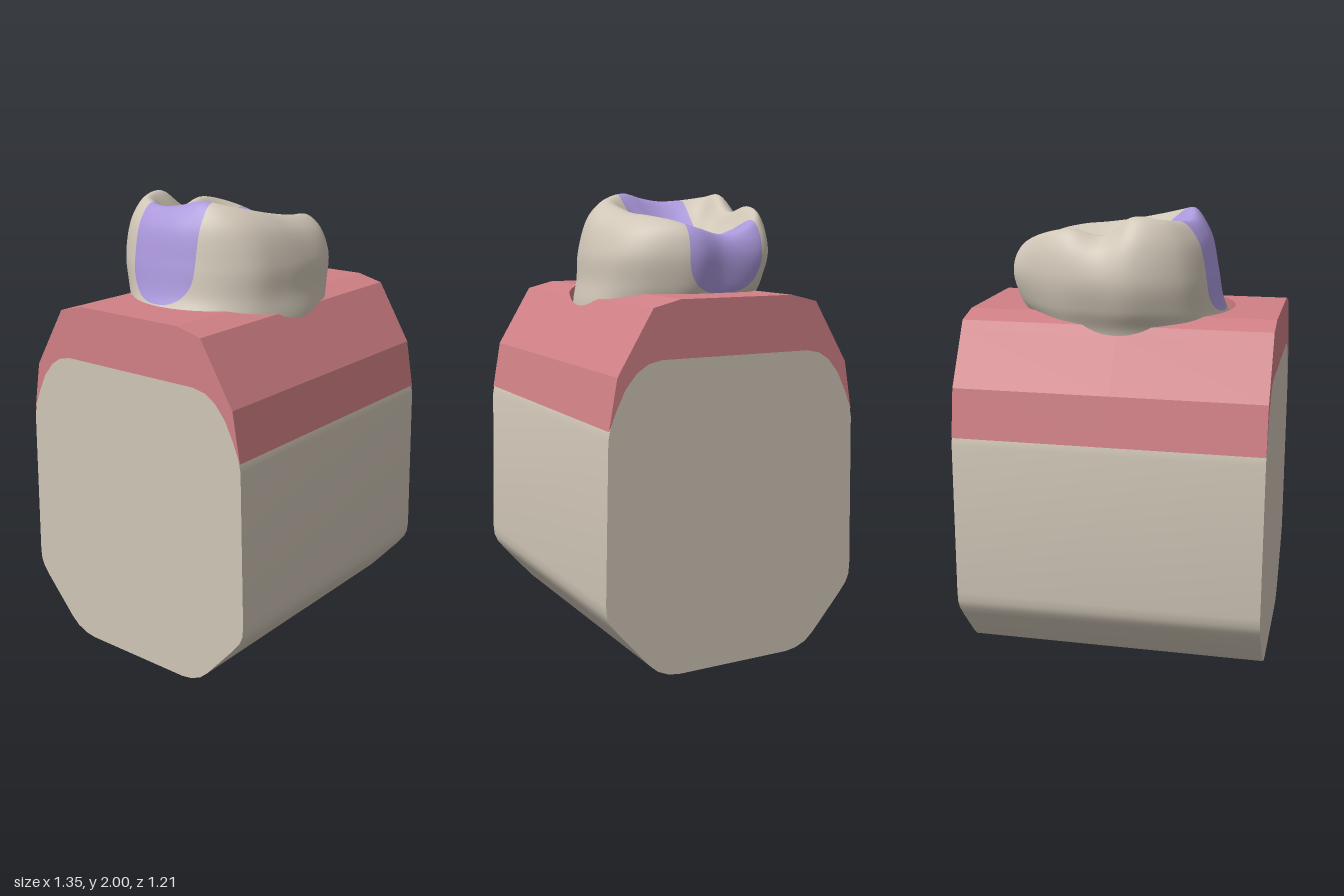
import * as THREE from 'three';
import { mergeVertices, toCreasedNormals } from 'three/addons/utils/BufferGeometryUtils.js';

const material = (name, color, side = THREE.FrontSide) =>
  Object.assign(new THREE.MeshStandardMaterial({ color, side }), { name });

const HALF = 0.675; // half length of the block along x

// Half profiles as [z, y], bottom to top
const boneHalf = [[0.27, 0], [0.32, 0.008], [0.37, 0.03], [0.41, 0.065], [0.55, 0.225], [0.585, 0.27],
  [0.6, 0.305], [0.604, 0.35], [0.588, 1.03], [0.578, 1.08], [0.55, 1.15], [0.51, 1.23], [0.46, 1.29],
  [0.41, 1.322], [0.35, 1.335]];
const gumHalf = [[0.585, 1.065], [0.547, 1.277], [0.387, 1.543], [0.265, 1.573]];

// Oval socket in the gum
const HOLE = { x: -0.01, rx: 0.455, rz: 0.41 };

const mirrored = (half) => [...half, ...half.map(([z, y]) => [-z, y]).reverse()];
const shapeOf = (pts) => new THREE.Shape(pts.map(([z, y]) => new THREE.Vector2(z, y)));

function makeGeometry(positions, normals) {
  const g = new THREE.BufferGeometry();
  g.setAttribute('position', new THREE.Float32BufferAttribute(positions, 3));
  if (normals) g.setAttribute('normal', new THREE.Float32BufferAttribute(normals, 3));
  else g.computeVertexNormals();
  return g;
}

function gumHeight(z) {
  const a = Math.abs(z);
  for (let i = 0; i < gumHalf.length - 1; i++) {
    const [z0, y0] = gumHalf[i], [z1, y1] = gumHalf[i + 1];
    if (a >= z1) return y0 + (y1 - y0) * (z0 - a) / (z0 - z1);
  }
  return gumHalf[3][1];
}

// Faceted gum surface in strips along x, cut around the socket, with a socket wall
function gumSurface() {
  const rows = gumHalf.flatMap(([z]) => [z, -z]);
  for (let i = 0; i <= 48; i++) rows.push(-HOLE.rz * Math.cos(Math.PI * i / 48));
  rows.sort((a, b) => a - b);
  const pos = [];
  const quad = (a, b, c, d) => pos.push(...a, ...d, ...c, ...a, ...c, ...b);
  for (let i = 0; i < rows.length - 1; i++) {
    const [p, q] = [rows[i], rows[i + 1]].map((z) => ({
      z, y: gumHeight(z), w: HOLE.rx * Math.sqrt(Math.max(0, 1 - (z / HOLE.rz) ** 2)) }));
    if (q.z - p.z < 1e-6) continue;
    for (const s of [-1, 1]) {
      const at = (r, y = r.y) => [HOLE.x + s * r.w, y, r.z];
      const end = (r) => [s * HALF, r.y, r.z];
      if (s < 0) quad(end(p), at(p), at(q), end(q));
      else quad(at(p), end(p), end(q), at(q));
      if (p.w + q.w > 0) {
        if (s < 0) quad(at(p), at(p, 1.33), at(q, 1.33), at(q));
        else quad(at(p, 1.33), at(p), at(q), at(q, 1.33));
      }
    }
  }
  return makeGeometry(pos);
}

// Crown control loops, from the right side round by the front
const waist = [[0.465, -0.06], [0.475, 0.06], [0.44, 0.16], [0.36, 0.28], [0.25, 0.355], [0.08, 0.375],
  [-0.08, 0.36], [-0.22, 0.315], [-0.32, 0.21], [-0.38, 0.06], [-0.39, -0.1], [-0.365, -0.24],
  [-0.28, -0.37], [-0.1, -0.455], [0.06, -0.445], [0.22, -0.415], [0.37, -0.335], [0.48, -0.25]];
const neck = [[0.42, -0.03], [0.41, 0.1], [0.37, 0.2], [0.3, 0.3], [0.2, 0.375], [0.05, 0.4],
  [-0.1, 0.385], [-0.25, 0.33], [-0.37, 0.23], [-0.44, 0.1], [-0.455, -0.05], [-0.41, -0.2],
  [-0.3, -0.31], [-0.1, -0.37], [0.08, -0.37], [0.22, -0.34], [0.33, -0.26], [0.4, -0.16]];
const rim = [[0.42, -0.08, 1.82], [0.43, 0.06, 1.85], [0.37, 0.14, 1.88], [0.27, 0.2, 1.9],
  [0.15, 0.22, 1.91], [0.02, 0.21, 1.93], [-0.12, 0.2, 1.96], [-0.21, 0.14, 1.985], [-0.26, 0.06, 2],
  [-0.28, -0.03, 1.98], [-0.28, -0.13, 1.965], [-0.25, -0.23, 1.97], [-0.18, -0.32, 1.985],
  [-0.07, -0.34, 1.995], [0.06, -0.32, 1.915], [0.2, -0.33, 1.94], [0.34, -0.29, 1.91], [0.43, -0.2, 1.86]];
const pit = new THREE.Vector3(0.06, -0.11, 1.765); // x, z, y like the rim

function crownGeometry() {
  const mix = (a, b, t) => a + (b - a) * t;
  const ring = (fn) => new THREE.CatmullRomCurve3(rim.map((r, i) => new THREE.Vector3(...fn(r, waist[i], neck[i]))), true);
  const blend = (a, b, t, y) => [mix(a[0], b[0], t), y, mix(a[1], b[1], t)];
  const fossa = [pit.x, pit.y];
  const rings = [
    ring((r, w, n) => [n[0] * 0.97, 1.3, n[1] * 0.97]),
    ring((r, w, n) => [n[0], 1.5, n[1]]),
    ring((r, w, n) => blend(n, w, 0.65, 1.61)),
    ring((r, w) => [w[0], 1.74, w[1]]),
    ring((r, w) => blend(w, r, 0.35, mix(1.75, r[2], 0.68))),
    ring((r) => [r[0], r[2], r[1]]),
    ring((r) => blend(r, fossa, 0.35, mix(r[2], pit.z, 0.5))),
    ring((r) => blend(r, fossa, 0.7, mix(r[2], pit.z, 0.87))),
  ];
  const N = 144, M = 72, pos = [], index = [];
  for (let j = 0; j < N; j++) {
    const column = rings.map((c) => c.getPoint(j / N));
    column.push(new THREE.Vector3(pit.x, pit.z, pit.y));
    const profile = new THREE.CatmullRomCurve3(column);
    for (let i = 0; i <= M; i++) pos.push(...profile.getPoint(i / M).toArray());
  }
  for (let j = 0; j < N; j++) for (let i = 0; i < M; i++) {
    const a = j * (M + 1) + i, b = ((j + 1) % N) * (M + 1) + i;
    index.push(a, a + 1, b);
    if (i < M - 1) index.push(b, a + 1, b + 1);
  }
  const g = new THREE.BufferGeometry();
  g.setAttribute('position', new THREE.Float32BufferAttribute(pos, 3));
  g.setIndex(index);
  const merged = mergeVertices(g, 1e-5);
  merged.computeVertexNormals();
  return merged;
}

// Positive inside the inlay band that runs over the crown and down both ends
function inlayField([x, y, z]) {
  const pinch = Math.exp(-((x - 0.06) ** 2) / 0.02);
  const dz = Math.abs(z + 0.065 - 0.015 * pinch), dy = Math.max(0, 1.74 - y);
  return 0.17 - 0.035 * pinch - (dz ** 2.5 + dy ** 2.5) ** 0.4;
}

// Splits a geometry cleanly along the zero line of a field
function splitByField(g, field) {
  const p = g.attributes.position, n = g.attributes.normal, idx = g.index.array;
  const parts = [{ pos: [], nor: [] }, { pos: [], nor: [] }];
  const verts = Array.from({ length: p.count }, (_, i) => {
    const pos = [p.getX(i), p.getY(i), p.getZ(i)];
    return { pos, nor: [n.getX(i), n.getY(i), n.getZ(i)], f: field(pos) };
  });
  const lerp = (a, b, t) => a.map((v, k) => v + (b[k] - v) * t);
  for (let k = 0; k < idx.length; k += 3) {
    const polys = [[], []];
    for (let e = 0; e < 3; e++) {
      const a = verts[idx[k + e]], b = verts[idx[k + (e + 1) % 3]];
      polys[a.f > 0 ? 1 : 0].push(a);
      if (a.f > 0 !== b.f > 0) {
        const t = a.f / (a.f - b.f);
        const cut = { pos: lerp(a.pos, b.pos, t), nor: lerp(a.nor, b.nor, t) };
        polys[0].push(cut);
        polys[1].push(cut);
      }
    }
    polys.forEach((poly, s) => {
      for (let e = 1; e < poly.length - 1; e++) for (const v of [poly[0], poly[e], poly[e + 1]]) {
        parts[s].pos.push(...v.pos);
        parts[s].nor.push(...v.nor);
      }
    });
  }
  return parts.map((q) => makeGeometry(q.pos, q.nor));
}

export function createModel() {
  const model = new THREE.Group();
  model.name = 'toothModel';
  const ivory = material('ivory', 0xd0c6b7);
  const pink = material('gumPink', 0xd08085, THREE.DoubleSide);
  const violet = material('inlayViolet', 0xab98dc);
  const add = (name, geometry, mat) => {
    const mesh = new THREE.Mesh(geometry, mat);
    mesh.name = name;
    model.add(mesh);
    return mesh;
  };

  // Jaw bone block
  const bone = new THREE.ExtrudeGeometry(shapeOf(mirrored(boneHalf)), { depth: HALF * 2, bevelEnabled: false });
  bone.translate(0, 0, -HALF).rotateY(Math.PI / 2);
  add('jawBone', toCreasedNormals(bone, 0.7), ivory);

  // Gum with its two end faces
  add('gum', gumSurface(), pink);
  const boneTop = boneHalf.slice(9);
  const endShape = shapeOf([...mirrored(gumHalf), ...mirrored(boneTop).reverse()]);
  for (const s of [-1, 1]) {
    const end = add(s > 0 ? 'gumEndLeft' : 'gumEndRight', new THREE.ShapeGeometry(endShape), pink);
    end.rotation.y = s * Math.PI / 2;
    end.position.x = s * HALF;
  }

  // Molar crown with inlay
  const [enamel, inlay] = splitByField(crownGeometry(), inlayField);
  add('toothCrown', enamel, ivory);
  add('inlay', inlay, violet);
  return model;
}
